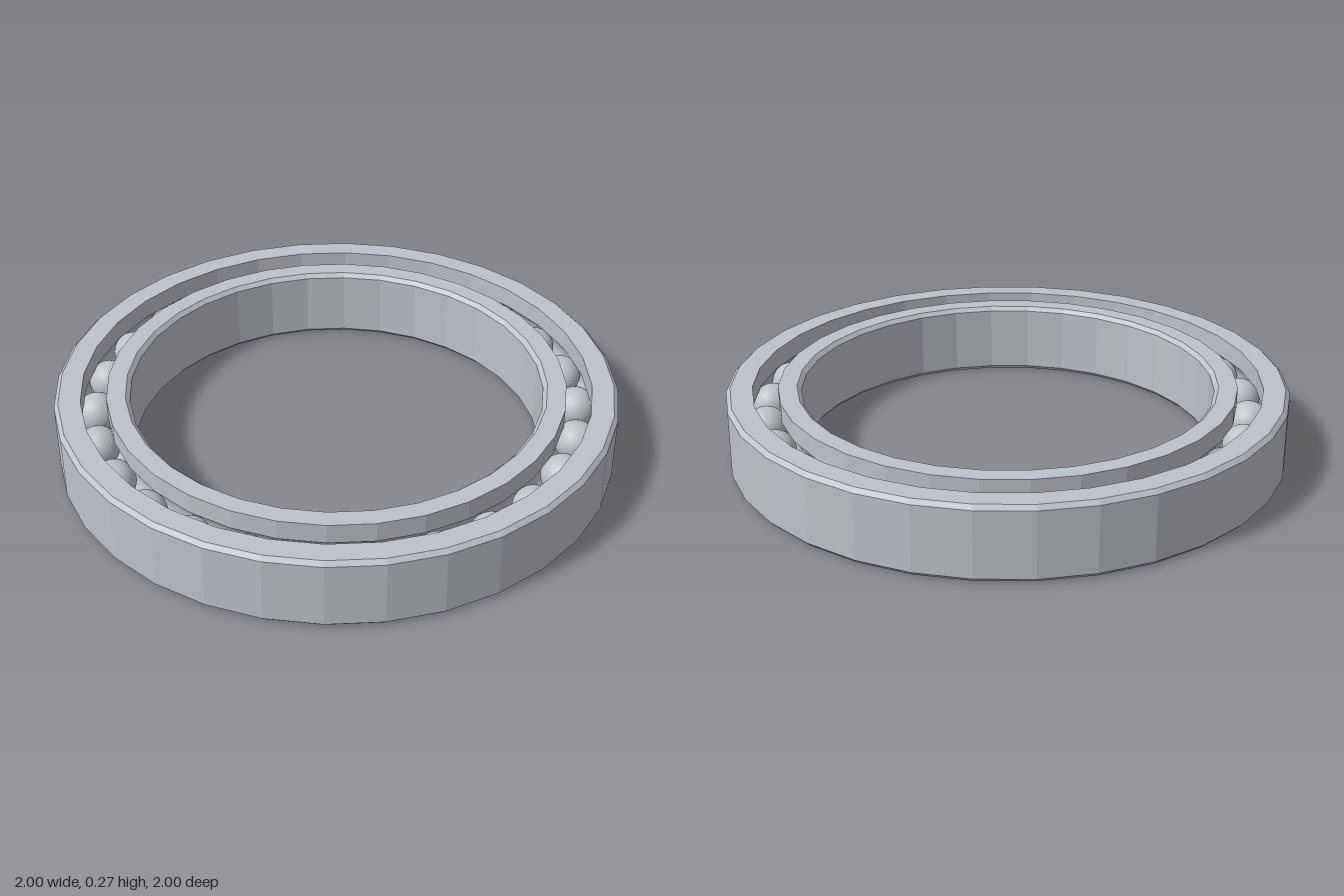
import * as THREE from 'three';

const HEIGHT = 0.266, MID = HEIGHT / 2, BEVEL = 0.015, SIDES = 32;
const PITCH = 0.862, BALL_RADIUS = 0.075, BALL_COUNT = 26;

// Points of the ball groove, from angle a to angle b around the ball centre
function groove(a, b, steps = 8) {
  return Array.from({ length: steps + 1 }, (_, i) => {
    const t = a + (b - a) * i / steps, r = BALL_RADIUS + 0.001;
    return [PITCH + r * Math.cos(t), MID + r * Math.sin(t)];
  });
}

// Revolve a closed ring profile, listed counter-clockwise in (radius, height)
function ring(name, profile, material) {
  const points = [...profile, profile[0]].map(([r, y]) => new THREE.Vector2(r, y));
  const mesh = new THREE.Mesh(new THREE.LatheGeometry(points, SIDES), material);
  mesh.name = name;
  return mesh;
}

export function createModel() {
  const model = new THREE.Group();
  model.name = 'ballBearing';
  const steel = new THREE.MeshStandardMaterial({ color: 0xbec2c9, flatShading: true });
  steel.name = 'ring steel';
  const ballSteel = new THREE.MeshStandardMaterial({ color: 0xbec2c6, flatShading: true });
  ballSteel.name = 'ball steel';

  // Outer ring: bevelled rim, groove on its inner wall
  const outerWall = 0.907, innerWall = 0.817, bore = 0.735;
  const a = Math.acos((outerWall - PITCH) / BALL_RADIUS);
  model.add(ring('outerRing', [
    [1 - BEVEL, 0], [1, BEVEL], [1, HEIGHT - BEVEL], [1 - BEVEL, HEIGHT],
    [outerWall, HEIGHT], ...groove(a, -a), [outerWall, 0],
  ], steel));

  // Inner ring: bevelled bore, groove on its outer wall
  const b = Math.acos((innerWall - PITCH) / BALL_RADIUS);
  model.add(ring('innerRing', [
    [innerWall, 0], ...groove(2 * Math.PI - b, b), [innerWall, HEIGHT],
    [bore + BEVEL, HEIGHT], [bore, HEIGHT - BEVEL], [bore, BEVEL], [bore + BEVEL, 0],
  ], steel));

  // Balls spaced evenly between the rings
  const balls = new THREE.Group();
  balls.name = 'balls';
  const ballGeometry = new THREE.IcosahedronGeometry(BALL_RADIUS, 5);
  for (let i = 0; i < BALL_COUNT; i++) {
    const angle = i / BALL_COUNT * Math.PI * 2;
    const ball = new THREE.Mesh(ballGeometry, ballSteel);
    ball.name = 'ball';
    ball.position.set(PITCH * Math.cos(angle), MID, PITCH * Math.sin(angle));
    ball.rotation.y = -angle;
    balls.add(ball);
  }
  model.add(balls);
  return model;
}
